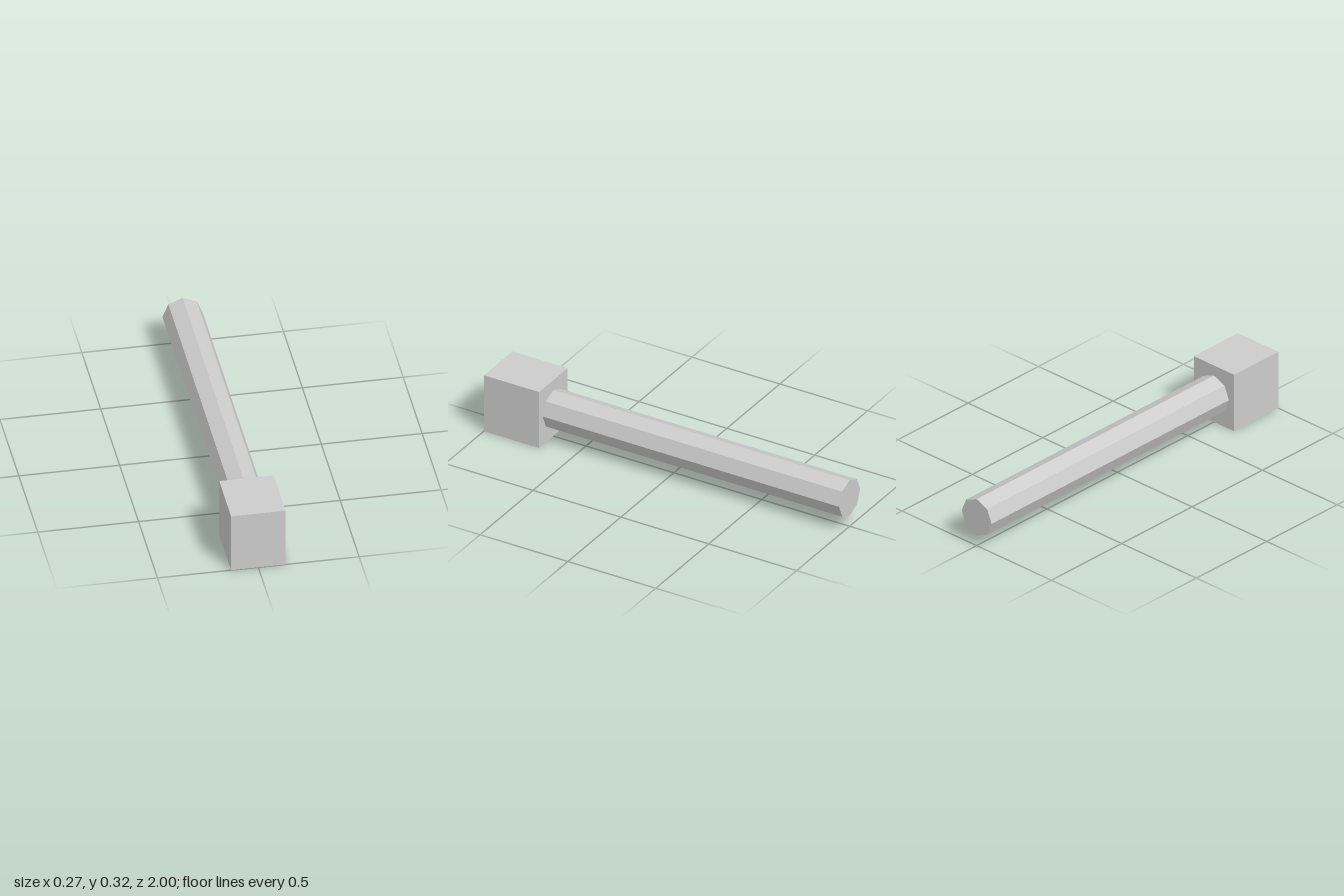
import * as THREE from 'three';

export function createModel() {
  const group = new THREE.Group();
  const grey = new THREE.MeshStandardMaterial({ color: 0xcccccc, flatShading: true });
  grey.name = 'light grey';

  const headHeight = 0.316, headDepth = 0.314, axisY = headHeight / 2 + 0.002;

  // Block head at the front
  const head = new THREE.Mesh(new THREE.BoxGeometry(0.27, headHeight, headDepth), grey);
  head.name = 'head';
  head.position.set(0, headHeight / 2, 1 - headDepth / 2);
  group.add(head);

  // Octagonal handle running back from the head, its end sunk slightly into it
  const front = 1 - headDepth + 0.02;
  const handleGeometry = new THREE.CylinderGeometry(0.1, 0.1, front + 1, 8);
  handleGeometry.rotateX(Math.PI / 2);
  const handle = new THREE.Mesh(handleGeometry, grey);
  handle.name = 'handle';
  handle.position.set(0, axisY, (front - 1) / 2);
  group.add(handle);

  return group;
}
